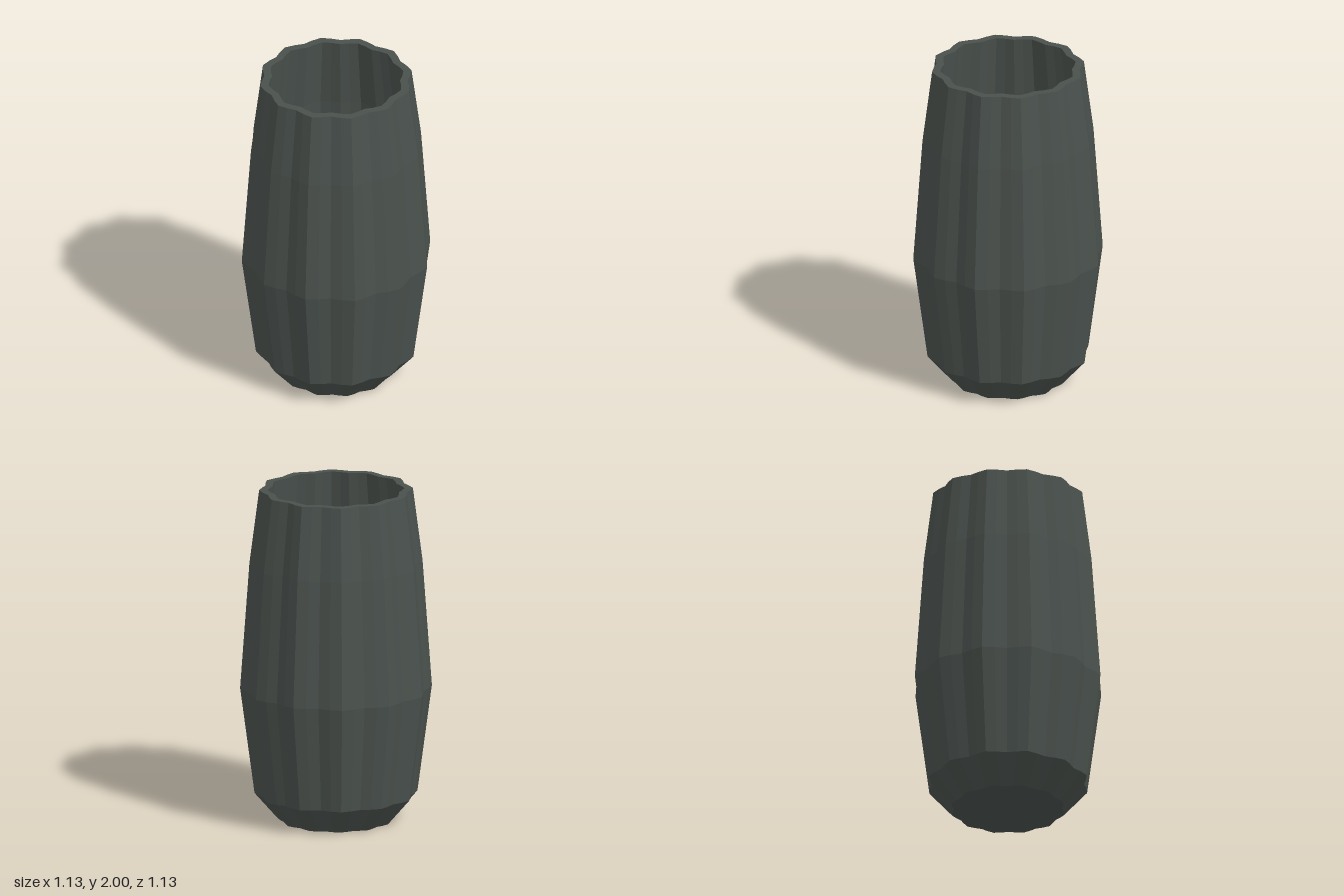
import * as THREE from 'three';

const RIDGES = 12;

// Lathe a profile, then press vertical flutes into it in proportion to radius
function flutedLathe(profile) {
  const points = profile.map(([r, y]) => new THREE.Vector2(r, y));
  const lathe = new THREE.LatheGeometry(points, RIDGES * 4);
  const pos = lathe.attributes.position;
  for (let i = 0; i < pos.count; i++) {
    const x = pos.getX(i), z = pos.getZ(i);
    const k = 0.966 + 0.034 * Math.cos(RIDGES * Math.atan2(x, z));
    pos.setX(i, x * k);
    pos.setZ(i, z * k);
  }
  const geometry = lathe.toNonIndexed();
  geometry.computeVertexNormals();
  return geometry;
}

export function createModel() {
  const group = new THREE.Group();
  group.name = 'flutedVase';
  const material = new THREE.MeshStandardMaterial({ color: 0x4a514d, flatShading: true });

  const parts = {
    // Underside, chamfered foot and bulging outer wall
    outerBody: [[0, 0], [0.34, 0], [0.48, 0.16], [0.565, 0.8], [0.51, 1.56], [0.453, 2]],
    // Flat lip around the mouth
    rim: [[0.453, 2], [0.404, 2]],
    // Hollow inside, down to the floor
    innerWall: [[0.404, 2], [0.46, 1.56], [0.515, 0.8], [0.43, 0.16], [0.392, 0.12]],
    floor: [[0.392, 0.12], [0, 0.12]],
  };
  for (const [name, profile] of Object.entries(parts)) {
    const mesh = new THREE.Mesh(flutedLathe(profile), material);
    mesh.name = name;
    group.add(mesh);
  }
  return group;
}
